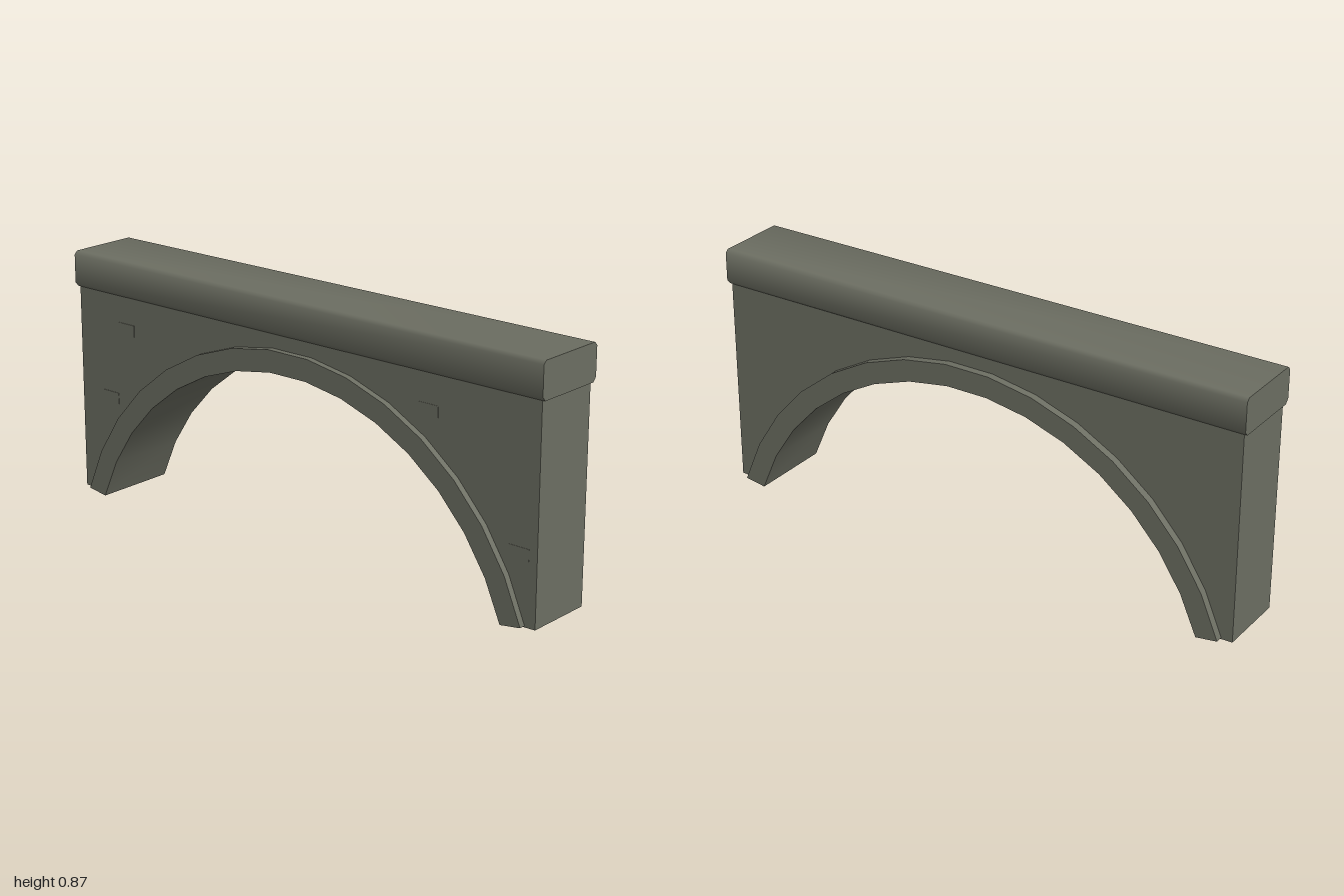
import * as THREE from 'three';
import { toCreasedNormals } from 'three/addons/utils/BufferGeometryUtils.js';

const CENTRE_Y = -0.3; // centre of the arch circles, below the ground
const SEGMENTS = 15;

// Points of a faceted arc from the right foot (+x) to the left foot
function arcPoints(radius, halfAngle) {
  const points = [];
  for (let i = 0; i <= SEGMENTS; i++) {
    const a = halfAngle * (1 - (2 * i) / SEGMENTS);
    points.push(new THREE.Vector2(radius * Math.sin(a), CENTRE_Y + radius * Math.cos(a)));
  }
  return points;
}

// Extrude an outline from zBack to zFront, smoothing shallow angles only
function slab(points, zBack, zFront) {
  const geometry = new THREE.ExtrudeGeometry(new THREE.Shape(points), {
    depth: zFront - zBack, bevelEnabled: false,
  });
  geometry.translate(0, 0, zBack);
  return toCreasedNormals(geometry, 0.6);
}

export function createModel() {
  const group = new THREE.Group();
  const stone = new THREE.MeshStandardMaterial({ color: 0x6c6e62 });
  stone.name = 'olive grey stone';

  const add = (name, geometry) => {
    const mesh = new THREE.Mesh(geometry, stone);
    mesh.name = name;
    group.add(mesh);
    return mesh;
  };

  // Wall above the arch, its curved edge buried inside the arch ring
  const v = (x, y) => new THREE.Vector2(x, y);
  const wallArc = arcPoints(0.965, 1.2485);
  add('wall', slab([
    v(0.99, 0.008), v(0.99, 0.76), v(-0.99, 0.76), v(-0.99, 0.008),
    ...wallArc.slice().reverse(),
  ], -0.121, 0.127));

  // Projecting arch ring
  const outer = arcPoints(1.0, 1.254);
  const inner = arcPoints(0.923, 1.2395);
  add('archRing', slab([...outer, ...inner.reverse()], -0.148, 0.15));

  // Coping with chamfered long edges, run along x
  const profile = [
    [-0.127, 0.745], [-0.14, 0.76], [-0.14, 0.86], [-0.128, 0.872],
    [0.122, 0.872], [0.134, 0.86], [0.134, 0.76], [0.121, 0.745],
  ].map(([x, y]) => v(x, y));
  const coping = new THREE.ExtrudeGeometry(new THREE.Shape(profile), {
    depth: 2, bevelEnabled: false,
  });
  coping.translate(0, 0, -1);
  coping.rotateY(Math.PI / 2);
  add('coping', toCreasedNormals(coping, 1));

  // Small stones just proud of the front face
  const stones = [
    [-0.765, 0.63, 0.002], [-0.85, 0.37, 0.002],
    [0.563, 0.625, 0.001], [0.92, 0.245, 0.001],
  ];
  for (const [x, y, proud] of stones) {
    const plate = add('wallStone', new THREE.BoxGeometry(0.078, 0.04, 0.008));
    plate.position.set(x, y, 0.123 + proud);
  }

  return group;
}
